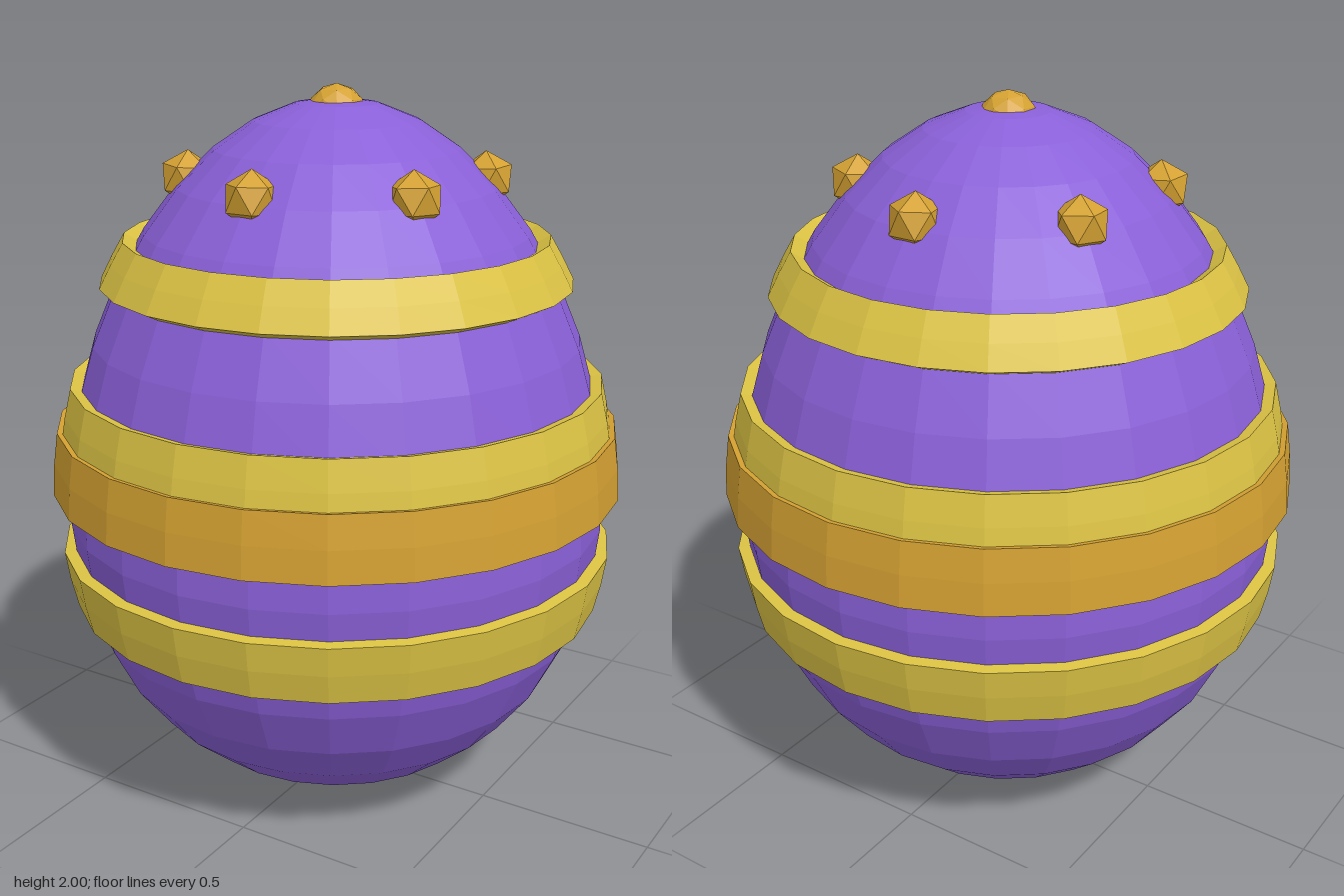
import * as THREE from 'three';

const SIDES = 24, ROWS = 18, HALF = 0.982;
const purple = new THREE.MeshStandardMaterial({ color: 0x8a60d8 });
purple.name = 'purple';
const yellow = new THREE.MeshStandardMaterial({ color: 0xdcc344 });
yellow.name = 'yellow';
const gold = new THREE.MeshStandardMaterial({ color: 0xd4a132 });
gold.name = 'gold';

// Faceted mesh: unshared vertices give one normal per face
function facetMesh(name, geometry, material) {
  const flat = geometry.index ? geometry.toNonIndexed() : geometry;
  flat.computeVertexNormals();
  const mesh = new THREE.Mesh(flat, material);
  mesh.name = name;
  return mesh;
}

// Egg radius at a height: an ellipse that narrows towards the top
function eggRadius(y) {
  const t = THREE.MathUtils.clamp((y - HALF) / HALF, -1, 1);
  return Math.sqrt(1 - t * t) * (0.753 - 0.1 * t);
}

// Point on the egg's profile, pushed out along its normal
function profilePoint(y, offset) {
  const slope = (eggRadius(y + 0.01) - eggRadius(y - 0.01)) / 0.02;
  const len = Math.hypot(1, slope);
  return new THREE.Vector2(eggRadius(y) + offset / len, y - slope * offset / len);
}

// Raised band that follows the shell between two heights
function band(name, y0, y1, offset, material) {
  const points = [profilePoint(y0, -0.02)];
  for (let i = 0; i <= 2; i++) points.push(profilePoint(y0 + (y1 - y0) * i / 2, offset));
  points.push(profilePoint(y1, -0.02));
  return facetMesh(name, new THREE.LatheGeometry(points, SIDES), material);
}

export function createModel() {
  const model = new THREE.Group();
  model.name = 'decoratedEgg';

  // Shell
  const shell = [];
  for (let i = 0; i <= ROWS; i++) {
    const y = HALF * (1 - Math.cos(Math.PI * i / ROWS));
    shell.push(new THREE.Vector2(eggRadius(y), y));
  }
  model.add(facetMesh('shell', new THREE.LatheGeometry(shell, SIDES), purple));

  // Bands
  model.add(
    band('lowerBand', 0.575, 0.735, 0.03, yellow),
    band('middleBand', 0.905, 1.075, 0.045, gold),
    band('upperMiddleBand', 1.04, 1.198, 0.03, yellow),
    band('upperBand', 1.46, 1.578, 0.039, yellow)
  );

  // Ring of six gems, each with a corner pointing outwards
  for (let i = 0; i < 6; i++) {
    const gem = new THREE.IcosahedronGeometry(0.075, 0);
    gem.rotateX(Math.atan(2 / (1 + Math.sqrt(5))));
    gem.rotateZ(Math.PI);
    gem.rotateX(-Math.PI / 6);
    gem.translate(0, 1.75, 0.405);
    gem.rotateY(i * Math.PI / 3);
    model.add(facetMesh('gem' + (i + 1), gem, gold));
  }

  // Rounded gem on the tip
  const tip = new THREE.IcosahedronGeometry(0.08, 1);
  tip.translate(0, 1.92, 0);
  model.add(facetMesh('tipGem', tip, gold));

  return model;
}
